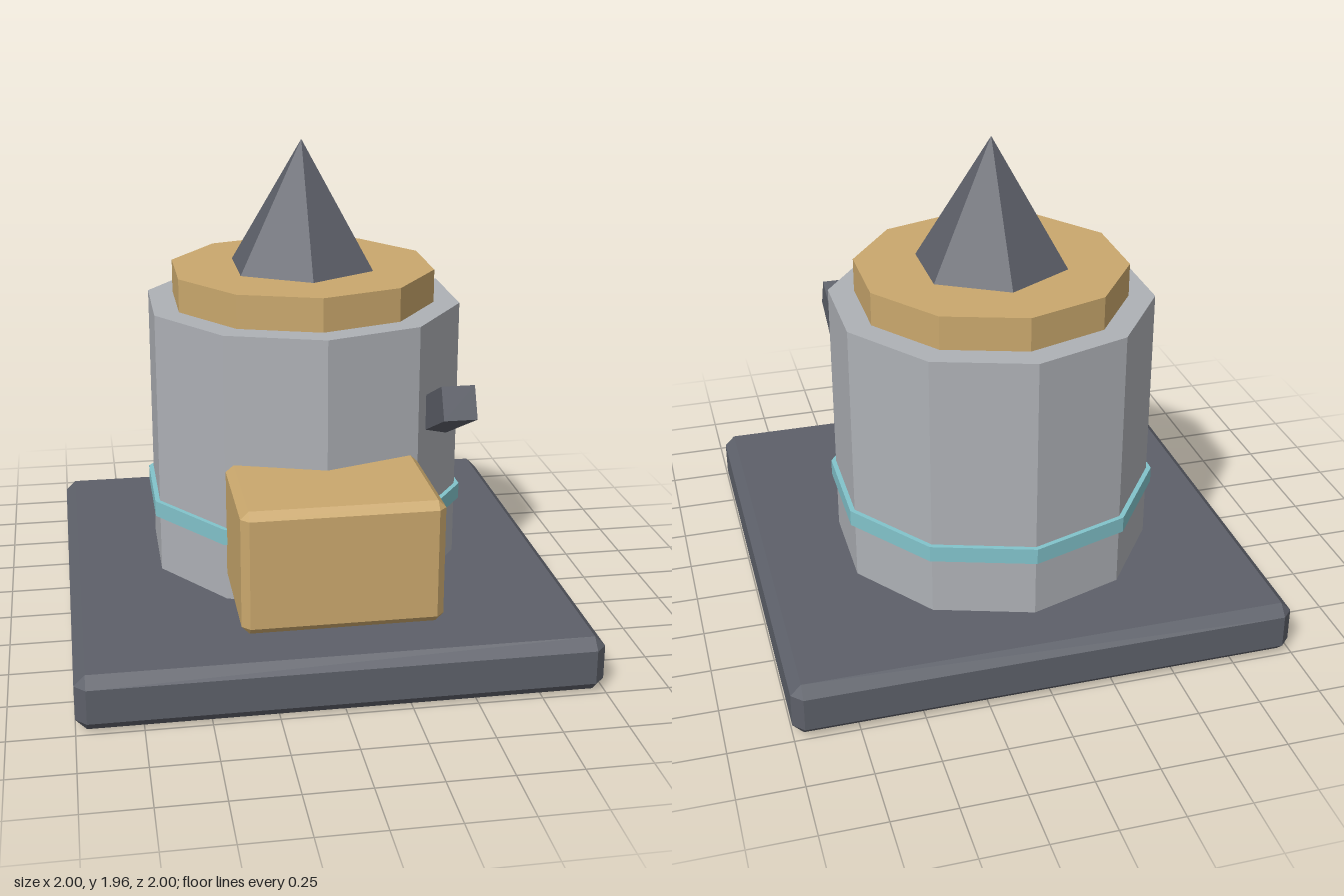
import * as THREE from 'three';
import { ConvexGeometry } from 'three/addons/geometries/ConvexGeometry.js';

const material = (name, color) => {
  const m = new THREE.MeshStandardMaterial({ color, flatShading: true });
  m.name = name;
  return m;
};

// Box with flat chamfers on every edge and corner
function chamferBox(w, h, d, c) {
  const pts = [];
  for (const sx of [-1, 1]) for (const sy of [-1, 1]) for (const sz of [-1, 1]) {
    const x = w / 2, y = h / 2, z = d / 2;
    pts.push(new THREE.Vector3(sx * x, sy * (y - c), sz * (z - c)));
    pts.push(new THREE.Vector3(sx * (x - c), sy * y, sz * (z - c)));
    pts.push(new THREE.Vector3(sx * (x - c), sy * (y - c), sz * z));
  }
  return new ConvexGeometry(pts);
}

export function createModel() {
  const group = new THREE.Group();
  const slate = material('dark slate', 0x5d6069);
  const stone = material('light grey', 0xaeb1b6);
  const gold = material('tan gold', 0xcaa86d);
  const teal = material('pale teal', 0x82c3cb);

  const add = (name, geometry, mat, x, y, z) => {
    const mesh = new THREE.Mesh(geometry, mat);
    mesh.name = name;
    mesh.position.set(x, y, z);
    group.add(mesh);
    return mesh;
  };

  // Upright prism on the tower axis, spanning y0 to y1
  const axisZ = -0.11;
  const prism = (name, mat, rTop, rBottom, y0, y1, sides) =>
    add(name, new THREE.CylinderGeometry(rTop, rBottom, y1 - y0, sides), mat, 0, (y0 + y1) / 2, axisZ);

  // Square plinth
  add('base', chamferBox(2, 0.22, 2, 0.042), slate, 0, 0.11, 0);

  // Ten-sided tower, its band, cap and six-sided spire
  prism('towerBody', stone, 0.65, 0.65, 0.22, 1.31, 10);
  prism('band', teal, 0.67, 0.67, 0.46, 0.525, 10);
  prism('cap', gold, 0.545, 0.545, 1.31, 1.445, 10);
  prism('spire', slate, 0, 0.31, 1.445, 1.96, 6);

  // Front block, its rear sunk into the tower
  add('frontBlock', chamferBox(0.76, 0.485, 0.675, 0.03), gold, 0, 0.5475, 0.5875);

  // Tilted lever on the left side
  const lever = add('lever', new THREE.BoxGeometry(0.13, 0.132, 0.6), slate, 0.49, 0.938, 0.351);
  lever.rotation.x = THREE.MathUtils.degToRad(-25);

  return group;
}
